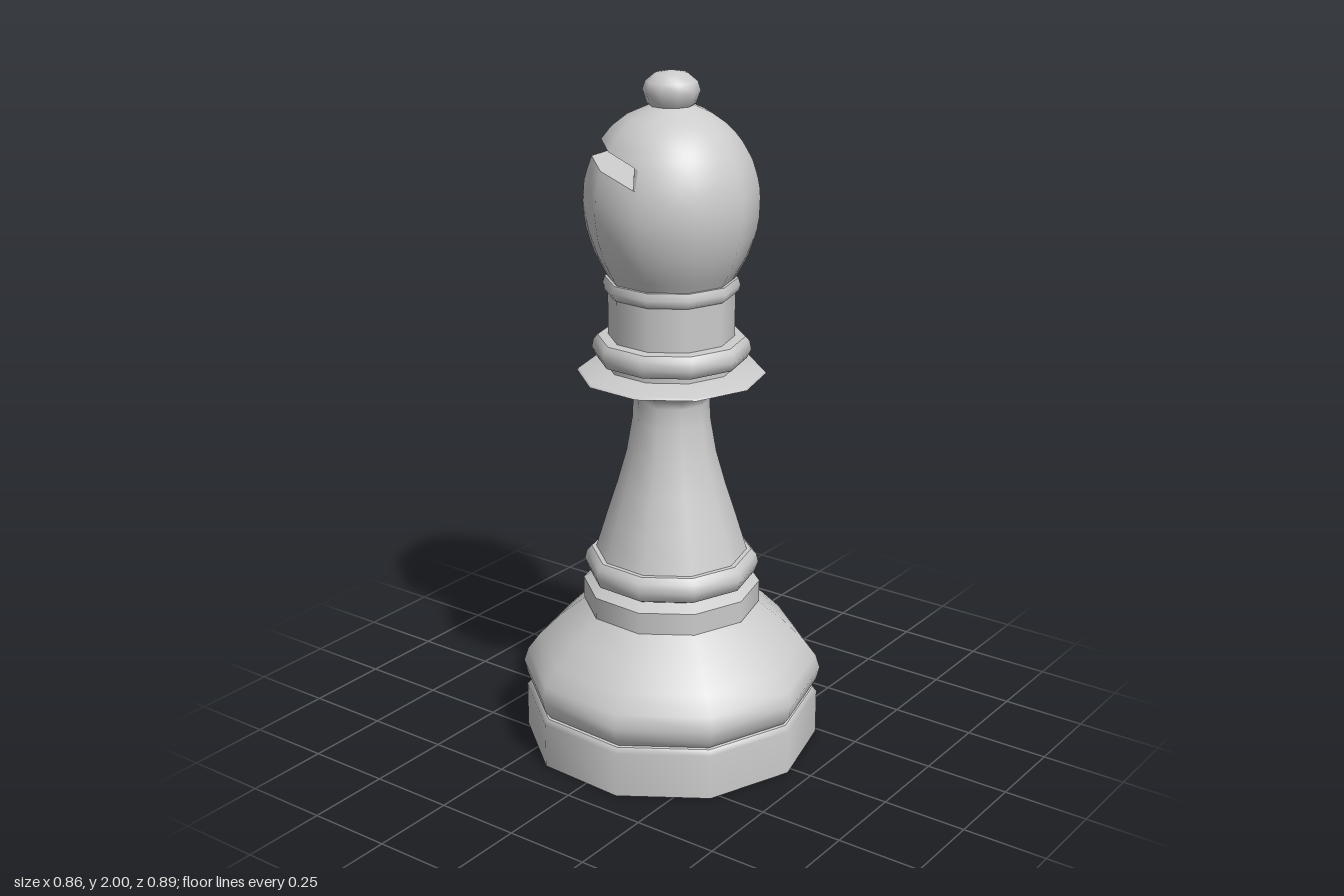
import * as THREE from 'three';

const SIDES = 10, TURN = -0.055;
const mat = new THREE.MeshStandardMaterial({ color: 0xcccccc });

// one turned part: profile of [radius, height] from bottom to top
function turned(name, profile) {
  const pts = profile.map(([r, y]) => new THREE.Vector2(r, y));
  const mesh = new THREE.Mesh(new THREE.LatheGeometry(pts, SIDES, TURN), mat);
  mesh.name = name;
  return mesh;
}

// head radius by height
const HEAD = [[0.18, 1.42], [0.213, 1.48], [0.237, 1.55], [0.248, 1.62], [0.243, 1.69], [0.226, 1.75],
  [0.2, 1.8], [0.165, 1.845], [0.12, 1.88], [0.05, 1.91]];
function headRadius(y) {
  let i = 0;
  while (i < HEAD.length - 2 && y > HEAD[i + 1][1]) i++;
  const [r0, y0] = HEAD[i], [r1, y1] = HEAD[i + 1];
  return r0 + (r1 - r0) * (y - y0) / (y1 - y0);
}

// head with a slanted slit cut straight across its back
function buildHead() {
  const facing = new THREE.Vector3(-0.52, 0, -0.854), slope = 0.36, wall = 0.085;
  const floorY = 1.682, ceilingY = 1.739, PER_SIDE = 10, ROWS = 10;
  const positions = [], normals = [];

  const quad = (corners, cornerNormals) => {
    const flat = new THREE.Vector3().subVectors(corners[2], corners[0])
      .cross(new THREE.Vector3().subVectors(corners[3], corners[1])).normalize();
    for (const k of [0, 1, 2, 0, 2, 3]) {
      positions.push(...corners[k].toArray());
      normals.push(...(cornerNormals ? cornerNormals[k] : flat).toArray());
    }
  };

  // a column of the skin at a point along the ten-sided outline
  const column = (i) => {
    const side = Math.floor(i / PER_SIDE), t = (i % PER_SIDE) / PER_SIDE;
    const corner = (s) => {
      const a = TURN + s * Math.PI * 2 / SIDES;
      return new THREE.Vector3(Math.sin(a), 0, Math.cos(a));
    };
    const dir = corner(side).lerp(corner(side + 1), t);
    const out = corner(side + t);
    const point = (y) => dir.clone().multiplyScalar(headRadius(y)).setY(y);
    const normal = (y) => {
      const lo = Math.max(1.42, y - 0.035), hi = Math.min(1.91, y + 0.035);
      return out.clone().setY((headRadius(lo) - headRadius(hi)) / (hi - lo)).normalize();
    };
    const cut = (base) => {
      let y = base;
      for (let k = 0; k < 30; k++) y = base + slope * headRadius(y) * dir.dot(facing);
      return y;
    };
    const inner = (p) => {
      const depth = Math.max(0, p.dot(facing) - wall);
      const q = p.clone().addScaledVector(facing, -depth);
      q.y -= slope * depth;
      return q;
    };
    const lip = cut(floorY), brow = cut(ceilingY);
    const slit = [point(lip), inner(point(lip)), inner(point(brow)), point(brow)];
    const open = point(lip).dot(facing) > wall || point(brow).dot(facing) > wall;
    return { point, normal, lip, brow, slit, open };
  };

  for (let i = 0; i < SIDES * PER_SIDE; i++) {
    const a = column(i), b = column(i + 1);
    const skin = (ya0, ya1, yb0, yb1) => quad(
      [a.point(ya0), b.point(yb0), b.point(yb1), a.point(ya1)],
      [a.normal(ya0), b.normal(yb0), b.normal(yb1), a.normal(ya1)]);
    for (let j = 0; j < ROWS; j++) {
      const mix = THREE.MathUtils.lerp, t0 = j / ROWS, t1 = (j + 1) / ROWS;
      skin(mix(1.42, a.lip, t0), mix(1.42, a.lip, t1), mix(1.42, b.lip, t0), mix(1.42, b.lip, t1));
      skin(mix(a.brow, 1.91, t0), mix(a.brow, 1.91, t1), mix(b.brow, 1.91, t0), mix(b.brow, 1.91, t1));
    }
    if (a.open || b.open) {
      for (let k = 0; k < 3; k++) quad([a.slit[k], b.slit[k], b.slit[k + 1], a.slit[k + 1]]);
    } else skin(a.lip, a.brow, b.lip, b.brow);
  }
  const geo = new THREE.BufferGeometry();
  geo.setAttribute('position', new THREE.Float32BufferAttribute(positions, 3));
  geo.setAttribute('normal', new THREE.Float32BufferAttribute(normals, 3));
  const mesh = new THREE.Mesh(geo, mat);
  mesh.name = 'head';
  return mesh;
}

export function createModel() {
  const group = new THREE.Group();
  group.name = 'chessBishop';
  group.add(
    // foot
    turned('underside', [[0, 0], [0.437, 0]]),
    turned('plinth', [[0.437, 0], [0.437, 0.135], [0.425, 0.15]]),
    turned('plinthTop', [[0.425, 0.15], [0.41, 0.153]]),
    turned('base', [[0.415, 0.15], [0.435, 0.175], [0.445, 0.215], [0.432, 0.255], [0.395, 0.305],
      [0.33, 0.37], [0.255, 0.43]]),
    turned('baseBand', [[0.26, 0.43], [0.26, 0.495]]),
    turned('baseBandTop', [[0.26, 0.495], [0.225, 0.515]]),
    turned('lowerRing', [[0.225, 0.515], [0.245, 0.525], [0.256, 0.555], [0.25, 0.58], [0.235, 0.596]]),
    turned('lowerRingTop', [[0.235, 0.596], [0.2, 0.597]]),
    // stem flaring into the collar
    turned('stem', [[0.222, 0.595], [0.19, 0.7], [0.158, 0.8], [0.13, 0.9], [0.113, 1.0], [0.11, 1.06],
      [0.118, 1.085], [0.145, 1.1], [0.2, 1.118], [0.27, 1.14]]),
    turned('collarTop', [[0.27, 1.14], [0.265, 1.147], [0.2, 1.162], [0.17, 1.168]]),
    turned('collarStep', [[0.19, 1.16], [0.19, 1.18]]),
    // upper rings
    turned('upperRing', [[0.19, 1.177], [0.215, 1.185], [0.227, 1.21], [0.222, 1.235], [0.21, 1.248]]),
    turned('upperRingTop', [[0.21, 1.248], [0.17, 1.25]]),
    turned('neck', [[0.18, 1.25], [0.18, 1.38]]),
    turned('neckRing', [[0.18, 1.375], [0.19, 1.382], [0.194, 1.4], [0.188, 1.42]]),
    turned('neckRingTop', [[0.188, 1.42], [0.15, 1.421]]),
    // head and finial
    buildHead(),
    turned('finial', [[0.045, 1.89], [0.068, 1.91], [0.08, 1.945], [0.072, 1.97], [0.045, 1.992], [0, 2]]),
  );
  return group;
}
